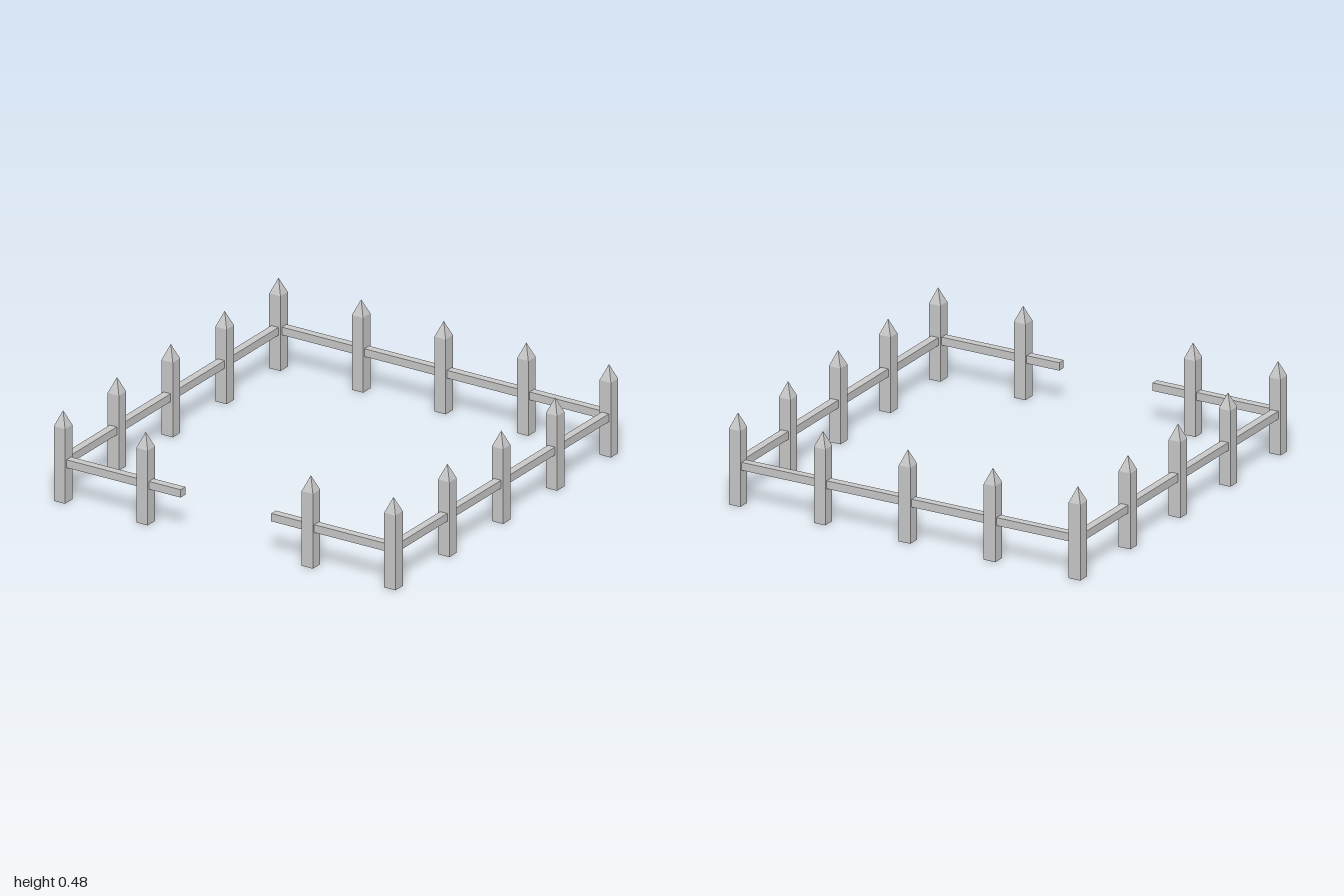
import * as THREE from 'three';

const POST = 0.066, POST_H = 0.4, TIP_H = 0.08;
const RAIL = 0.042, RAIL_Y = 0.21;
const EDGE = 0.967, STEP = EDGE / 2, GATE = 0.265;

export function createModel() {
  const model = new THREE.Group();
  model.name = 'fence';
  const wood = new THREE.MeshStandardMaterial({ color: 0xcacaca, side: THREE.DoubleSide });
  wood.name = 'light grey wood';

  // Square post with a pyramid point and an open foot
  const r = POST / Math.SQRT2;
  const profile = [[r, 0], [r, POST_H], [0, POST_H + TIP_H]].map(([x, y]) => new THREE.Vector2(x, y));
  const postGeometry = new THREE.LatheGeometry(profile, 4, Math.PI / 4).toNonIndexed();
  postGeometry.computeVertexNormals();

  function addPost(x, z) {
    const post = new THREE.Mesh(postGeometry, wood);
    post.name = 'post';
    post.position.set(x, 0, z);
    model.add(post);
  }

  function addRail(name, x, z, lengthX, lengthZ) {
    const rail = new THREE.Mesh(new THREE.BoxGeometry(lengthX, RAIL, lengthZ), wood);
    rail.name = name;
    rail.position.set(x, RAIL_Y, z);
    model.add(rail);
  }

  // Posts around the square, leaving out the middle front one for the gateway
  for (let i = -2; i <= 2; i++) {
    for (let j = -2; j <= 2; j++) {
      const onEdge = Math.abs(i) === 2 || Math.abs(j) === 2;
      const gateway = i === 0 && j === 2;
      if (onEdge && !gateway) addPost(i * STEP, j * STEP);
    }
  }

  // Full rails at the back and sides, short rails either side of the gateway
  addRail('backRail', 0, -EDGE, 2 * EDGE, RAIL);
  for (const side of [-1, 1]) {
    const label = side > 0 ? 'left' : 'right';
    addRail(label + 'Rail', side * EDGE, 0, RAIL, 2 * EDGE);
    addRail(label + 'FrontRail', side * (EDGE + GATE) / 2, EDGE, EDGE - GATE, RAIL);
  }
  return model;
}
